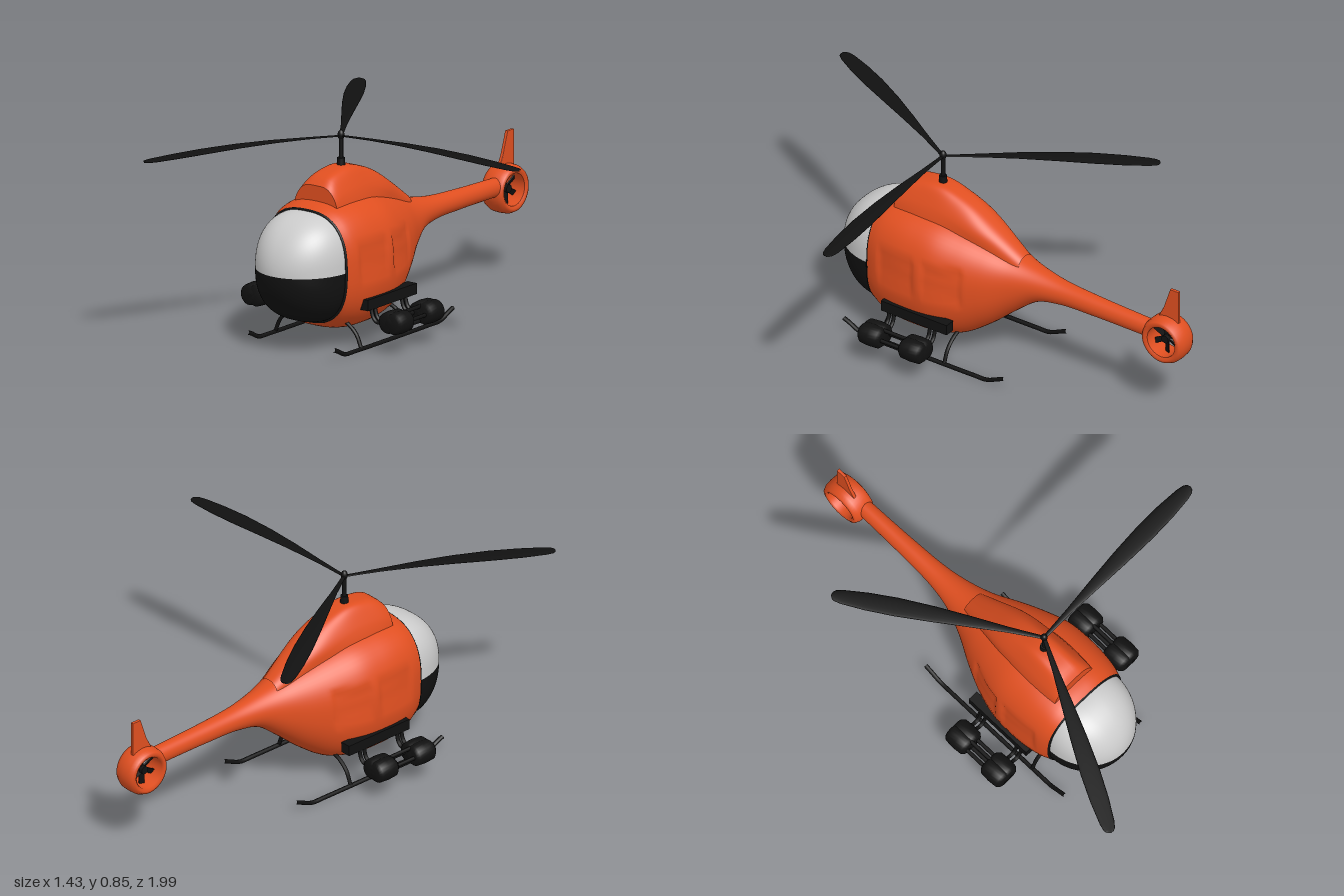
import * as THREE from 'three';

const mat = (color, side = THREE.FrontSide) => new THREE.MeshStandardMaterial({ color, side });
const orange = mat(0xe04f20), black = mat(0x111111), glass = mat(0xcccccc);

function add(parent, name, geometry, material, x = 0, y = 0, z = 0) {
  const m = new THREE.Mesh(geometry, material);
  m.name = name;
  m.position.set(x, y, z);
  parent.add(m);
  return m;
}

// One superellipse cross-section in the xy plane, from angle a0 to a1
function ring(z, hw, bottom, top, n, a0 = 0, a1 = Math.PI * 2, count = 64) {
  const pts = [], cy = (top + bottom) / 2, hh = (top - bottom) / 2;
  const p = v => Math.sign(v) * Math.abs(v) ** (2 / n);
  for (let j = 0; j < count; j++) {
    const a = a0 + (a1 - a0) * j / (a1 - a0 > 6 ? count : count - 1);
    pts.push(new THREE.Vector3(hw * p(Math.cos(a)), cy + hh * p(Math.sin(a)), z));
  }
  return pts;
}

// Skin over rows of points, ordered from front to back
function loft(rows, closed = true) {
  const n = rows[0].length, index = [];
  for (let i = 0; i < rows.length - 1; i++) {
    for (let j = 0; j < (closed ? n : n - 1); j++) {
      const k = (j + 1) % n, a = i * n + j, b = i * n + k, c = a + n, d = b + n;
      index.push(a, c, b, b, c, d);
    }
  }
  const g = new THREE.BufferGeometry().setFromPoints(rows.flat());
  g.setIndex(index);
  g.computeVertexNormals();
  return g;
}

// Smoothly interpolated rings from sections [z, halfWidth, bottom, top, exponent]
function sections(list, steps) {
  const it = new THREE.CubicInterpolant(list.map(s => -s[0]), list.flatMap(s => s.slice(1)), 4);
  const z0 = list[0][0], z1 = list[list.length - 1][0], rows = [];
  for (let i = 0; i <= steps; i++) {
    const z = z0 + (z1 - z0) * i / steps;
    rows.push(ring(z, ...it.evaluate(-z)));
  }
  return rows;
}

const cap = row => {
  const c = new THREE.Vector3();
  row.forEach(p => c.addScaledVector(p, 1 / row.length));
  return loft([row.map(() => c), row]);
};

const tube = (pts, r, closed = false, seg = 20) => new THREE.TubeGeometry(
  new THREE.CatmullRomCurve3(pts.map(p => new THREE.Vector3(...p)), closed), seg, r, 8, closed);

function fuselage(g) {
  const rows = sections([
    [0.225, 0.205, 0.105, 0.568, 2.6], [0.19, 0.217, 0.083, 0.582, 2.6],
    [0.12, 0.229, 0.062, 0.592, 2.6], [0.03, 0.235, 0.054, 0.595, 2.5],
    [-0.07, 0.228, 0.06, 0.585, 2.5], [-0.17, 0.2, 0.083, 0.56, 2.4],
    [-0.27, 0.158, 0.15, 0.525, 2.3], [-0.375, 0.105, 0.24, 0.485, 2.2],
    [-0.475, 0.07, 0.315, 0.46, 2], [-0.58, 0.05, 0.34, 0.442, 2],
    [-0.75, 0.04, 0.345, 0.43, 2], [-1.01, 0.034, 0.343, 0.42, 2]], 110);
  // Shallow recessed panels on both sides
  const soft = (v, a, b) => THREE.MathUtils.smoothstep(v, a, a + 0.02) * (1 - THREE.MathUtils.smoothstep(v, b - 0.02, b));
  rows.flat().forEach(p => {
    const d = (soft(p.z, -0.02, 0.17) + soft(p.z, -0.22, -0.04)) * soft(p.y, 0.28, 0.44);
    p.x -= Math.sign(p.x) * 0.009 * d;
  });
  add(g, 'fuselage', loft(rows), orange);

  // Engine cowl, narrowing towards its top
  const cowl = sections([
    [0.165, 0.108, 0.45, 0.65, 4], [0.14, 0.112, 0.45, 0.674, 4],
    [0.06, 0.116, 0.45, 0.698, 4], [-0.02, 0.113, 0.45, 0.7, 4],
    [-0.1, 0.104, 0.45, 0.678, 3.6], [-0.17, 0.094, 0.44, 0.648, 3.2],
    [-0.27, 0.075, 0.42, 0.585, 2.6], [-0.4, 0.05, 0.4, 0.495, 2.2]], 40);
  cowl.flat().forEach(p => { p.x *= 1 - 0.42 * THREE.MathUtils.smoothstep(p.y, 0.55, 0.71); });
  add(g, 'engineCowl', loft(cowl), orange);
  add(g, 'engineCowlFront', cap(cowl[0]), orange);
}

function canopy(g) {
  const half = (a0, a1) => {
    const rows = [];
    for (let i = 0; i <= 20; i++) {
      const t = Math.PI / 2 * i / 20, s = Math.max(Math.sin(t), 0.001);
      rows.push(ring(0.222 + 0.22 * Math.cos(t), 0.198 * s, 0.335 - 0.225 * s, 0.335 + 0.225 * s, 2 + 0.6 * s, a0, a1, 33));
    }
    return loft(rows, false);
  };
  add(g, 'canopyGlass', half(0, Math.PI), glass);
  add(g, 'canopyLower', half(-Math.PI, 0), black);
  const rim = ring(0.225, 0.2, 0.108, 0.562, 2.6).map(p => p.toArray());
  add(g, 'canopyRim', tube(rim, 0.006, true, 96), black);
}

function tail(g) {
  const fan = new THREE.Group();
  fan.name = 'tailFan';
  fan.position.set(-0.01, 0.36, -1.085);
  g.add(fan);
  // Shroud turned about the sideways axis
  const profile = [[0.067, -0.046], [0.078, -0.053], [0.09, -0.049], [0.099, -0.03], [0.101, 0],
    [0.099, 0.03], [0.09, 0.049], [0.078, 0.053], [0.067, 0.046], [0.067, -0.046]];
  add(fan, 'fanShroud', new THREE.LatheGeometry(profile.map(p => new THREE.Vector2(...p)), 48), orange).rotation.z = Math.PI / 2;
  add(fan, 'fanHub', new THREE.CylinderGeometry(0.017, 0.017, 0.04, 20), black).rotation.z = Math.PI / 2;
  for (let i = 0; i < 6; i++) {
    const pivot = new THREE.Group();
    pivot.name = 'fanBlade';
    pivot.rotation.x = i * Math.PI / 3;
    add(pivot, 'fanBladePlate', new THREE.BoxGeometry(0.005, 0.055, 0.023), black, 0, 0.039, 0).rotation.y = 0.4;
    fan.add(pivot);
  }
  const fin = new THREE.Shape([[-1.035, 0.43], [-1.07, 0.5], [-1.1, 0.59], [-1.137, 0.59], [-1.137, 0.43]].map(p => new THREE.Vector2(...p)));
  const geo = new THREE.ExtrudeGeometry(fin, { depth: 0.008, bevelEnabled: true, bevelSize: 0.002, bevelThickness: 0.003, bevelSegments: 2 });
  add(g, 'tailFin', geo.rotateY(-Math.PI / 2), orange, -0.01, 0, 0);
}

function rotor(g) {
  add(g, 'mastBase', new THREE.CylinderGeometry(0.015, 0.018, 0.04, 20), black, 0, 0.71, 0);
  add(g, 'mast', new THREE.CylinderGeometry(0.009, 0.009, 0.13, 16), black, 0, 0.76, 0);
  add(g, 'rotorHub', new THREE.SphereGeometry(0.014, 16, 12).scale(1, 1.5, 1), black, 0, 0.823, 0);
  // Blade outline is [distance, half chord]; cross-sections are thin ellipses
  const outline = [[0.865, 0.001], [0.861, 0.014], [0.85, 0.023], [0.82, 0.03], [0.72, 0.038],
    [0.6, 0.04], [0.45, 0.034], [0.3, 0.024], [0.15, 0.013], [0.05, 0.009], [0, 0.008]];
  const rows = outline.map(([r, w]) => {
    const y = 0.819 + 0.012 * Math.sin(Math.PI * Math.min(r / 0.75, 1.2));
    return ring(r, w, y - 0.003, y + 0.003, 2, 0, Math.PI * 2, 16);
  });
  const blade = loft(rows);
  for (let i = 0; i < 3; i++) {
    add(g, 'rotorBlade', blade, black).rotation.y = -0.478 + i * Math.PI * 2 / 3;
  }
}

function side(g, s) {
  const part = new THREE.Group();
  part.name = s > 0 ? 'leftUndercarriage' : 'rightUndercarriage';
  g.add(part);
  // Skid with raised ends, and its two curved legs
  add(part, 'skid', tube([[s * 0.215, 0.045, 0.33], [s * 0.215, 0.035, 0.305], [s * 0.215, 0.011, 0.255], [s * 0.215, 0.009, 0.2],
    [s * 0.215, 0.009, -0.3], [s * 0.215, 0.011, -0.365], [s * 0.215, 0.036, -0.425], [s * 0.215, 0.046, -0.45]], 0.009, false, 48), black);
  for (const z of [0.148, -0.157]) {
    add(part, 'skidLeg', tube([[s * 0.1, 0.12, z], [s * 0.15, 0.1, z], [s * 0.19, 0.065, z], [s * 0.215, 0.01, z]], 0.008), black);
  }
  // Side rail carrying two canisters joined by rods
  add(part, 'sideRail', new THREE.BoxGeometry(0.045, 0.045, 0.32), black, s * 0.215, 0.188, -0.025);
  for (const z of [-0.11, 0.088]) {
    for (const dx of [-0.015, 0.015]) {
      const profile = [[0, -0.052], [0.032, -0.052], [0.043, -0.04], [0.046, 0], [0.043, 0.04], [0.032, 0.052], [0, 0.052]];
      add(part, 'canister', new THREE.LatheGeometry(profile.map(p => new THREE.Vector2(...p)), 24), black,
        s * (0.345 + dx), 0.13, z).rotation.x = Math.PI / 2;
    }
    for (const dz of [-0.012, 0.012]) {
      add(part, 'canisterArm', tube([[s * 0.225, 0.18, z + dz], [s * 0.24, 0.13, z + dz], [s * 0.262, 0.115, z + dz], [s * 0.31, 0.135, z + dz]], 0.008), black);
    }
  }
  for (const [dx, dy] of [[-0.03, 0], [0.03, 0], [0, -0.03], [0, 0.03]]) {
    add(part, 'canisterRod', new THREE.CylinderGeometry(0.008, 0.008, 0.2, 10), black, s * (0.345 + dx), 0.13 + dy, -0.011).rotation.x = Math.PI / 2;
  }
}

export function createModel() {
  const model = new THREE.Group();
  model.name = 'helicopter';
  const craft = new THREE.Group();
  craft.name = 'craft';
  // Parts are built around the mast; the whole craft is turned slightly
  craft.position.set(-0.14, 0, 0.17);
  craft.rotation.y = 0.16;
  fuselage(craft);
  canopy(craft);
  tail(craft);
  rotor(craft);
  for (const s of [1, -1]) side(craft, s);
  model.add(craft);
  return model;
}
